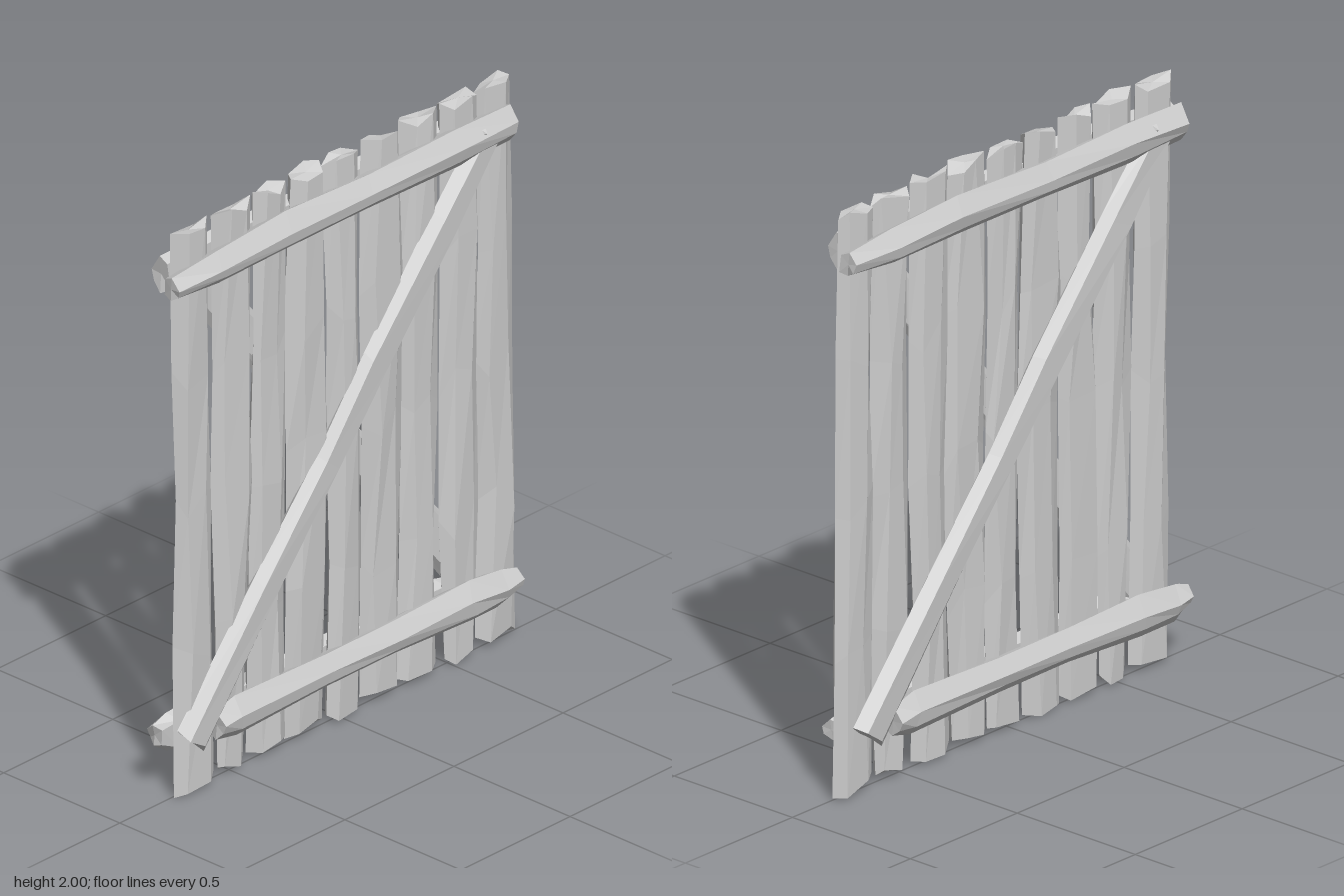
import * as THREE from 'three';

const material = new THREE.MeshStandardMaterial({ color: 0xcccccc, flatShading: true });

// Small seeded generator for the rough-hewn look
let seed = 7;
const rand = () => {
  seed = (seed * 16807) % 2147483647;
  return seed / 2147483647;
};
const jitter = (amount) => (rand() * 2 - 1) * amount;

// Rough board along y. stations: [along, low edge, high edge]; section: [across -1..1, depth],
// listed from the low edge over the front to the high edge and back.
function board(name, stations, section, rough = 1, endRough = 0.015) {
  const n = section.length;
  const last = stations.length - 1;
  const pos = [];
  const idx = [];
  stations.forEach(([t, lo, hi], i) => {
    const end = i === 0 || i === last;
    const mid = (lo + hi) / 2;
    const half = (hi - lo) / 2;
    for (const [u, v] of section) {
      const edge = Math.abs(u) === 1;
      pos.push(
        mid + half * (edge ? u : u + jitter(0.25 * rough)),
        t + jitter(end ? endRough : 0.06 * rough),
        v + jitter(0.009 * rough)
      );
    }
  });
  for (let i = 0; i < last; i++) {
    for (let j = 0; j < n; j++) {
      const a = i * n + j;
      const b = i * n + ((j + 1) % n);
      idx.push(a, b, b + n, a, b + n, a + n);
    }
  }
  // End caps fan out from a centre point
  for (const i of [0, last]) {
    const [t, lo, hi] = stations[i];
    const centre = pos.length / 3;
    const depth = section.reduce((sum, p) => sum + p[1], 0) / n;
    pos.push((lo + hi) / 2, t, depth);
    for (let j = 0; j < n; j++) {
      const a = i * n + j;
      const b = i * n + ((j + 1) % n);
      if (i === 0) idx.push(centre, b, a);
      else idx.push(centre, a, b);
    }
  }
  const indexed = new THREE.BufferGeometry();
  indexed.setAttribute('position', new THREE.Float32BufferAttribute(pos, 3));
  indexed.setIndex(idx);
  const geometry = indexed.toNonIndexed();
  geometry.computeVertexNormals();
  const mesh = new THREE.Mesh(geometry, material);
  mesh.name = name;
  return mesh;
}

// Horizontal board: stations are [x, bottom, top]
function rail(name, stations, section) {
  const mesh = board(name, stations.map(([x, lo, hi]) => [x, -hi, -lo]), section, 0.35, 0.008);
  mesh.rotation.z = -Math.PI / 2;
  return mesh;
}

// Two rails and a diagonal brace for one face of the gate
function bracing(name) {
  const group = new THREE.Group();
  group.name = name;
  const railSection = [[-1, 0.045], [-0.1, 0.08], [0.5, 0.07], [1, 0.04], [0.75, 0.01], [-0.7, 0.01]];

  group.add(rail('topRail', [
    [-0.81, 1.79, 1.87], [-0.6, 1.77, 1.89], [-0.3, 1.775, 1.91],
    [0.1, 1.775, 1.895], [0.5, 1.765, 1.905], [0.74, 1.77, 1.90],
  ], railSection));

  group.add(rail('bottomRail', [
    [-0.6, 0.16, 0.26], [-0.52, 0.14, 0.285], [-0.1, 0.155, 0.275],
    [0.2, 0.155, 0.275], [0.55, 0.14, 0.285], [0.7, 0.14, 0.27], [0.77, 0.18, 0.25],
  ], railSection));

  // Brace runs from the lower left to the upper right
  const from = new THREE.Vector2(-0.71, 0.19);
  const along = new THREE.Vector2(0.65, 1.83).sub(from);
  const length = along.length();
  const brace = board('diagonalBrace', [
    [0, -0.078, 0.078], [0.25 * length, -0.068, 0.065], [0.45 * length, -0.06, 0.062],
    [0.62 * length, -0.072, 0.06], [0.85 * length, -0.07, 0.07], [length, -0.06, 0.06],
  ], [[-1, 0.03], [-0.6, 0.065], [0.6, 0.062], [1, 0.035], [0.7, 0.012], [-0.7, 0.012]], 0.4, 0.01);
  brace.position.set(from.x, from.y, 0);
  brace.rotation.z = -Math.atan2(along.x, along.y);
  group.add(brace);

  // Tip of the brace showing through the rail
  const tip = new THREE.Mesh(new THREE.ConeGeometry(0.033, 0.04, 5), material);
  tip.name = 'braceTip';
  tip.position.set(0.6, 1.86, 0.062);
  tip.rotation.x = Math.PI / 2;
  group.add(tip);
  return group;
}

export function createModel() {
  seed = 7;
  const gate = new THREE.Group();
  gate.name = 'plankGate';

  // Left and right edges of each plank at five heights
  const heights = [0.02, 0.5, 1.0, 1.45, 1.98];
  const planks = [
    [[-0.76, -0.57], [-0.75, -0.585], [-0.74, -0.59], [-0.755, -0.595], [-0.77, -0.6]],
    [[-0.56, -0.43], [-0.57, -0.415], [-0.58, -0.4], [-0.57, -0.41], [-0.59, -0.4]],
    [[-0.42, -0.25], [-0.42, -0.25], [-0.41, -0.25], [-0.395, -0.25], [-0.39, -0.25]],
    [[-0.24, -0.07], [-0.245, -0.06], [-0.245, -0.04], [-0.25, -0.065], [-0.21, -0.08]],
    [[-0.06, 0.1], [-0.04, 0.1], [-0.05, 0.105], [-0.06, 0.095], [-0.07, 0.1]],
    [[0.1, 0.26], [0.11, 0.285], [0.1, 0.3], [0.1, 0.29], [0.11, 0.28]],
    [[0.26, 0.45], [0.28, 0.44], [0.29, 0.455], [0.28, 0.45], [0.28, 0.45]],
    [[0.48, 0.62], [0.46, 0.635], [0.46, 0.64], [0.465, 0.635], [0.47, 0.63]],
    [[0.63, 0.81], [0.635, 0.805], [0.63, 0.8], [0.64, 0.795], [0.63, 0.79]],
  ];
  const plankSection = [[-1, 0], [-0.5, 0.028], [0.5, 0.028], [1, 0], [0.5, -0.028], [-0.5, -0.028]];
  planks.forEach((edges, i) => {
    const stations = edges.map(([lo, hi], k) => [heights[k], lo, hi]);
    gate.add(board(`plank${i + 1}`, stations, plankSection, 1, 0.02));
  });

  // Same bracing on both faces, turned half round for the second
  gate.add(bracing('firstFaceBracing'));
  const second = bracing('secondFaceBracing');
  second.rotation.y = Math.PI;
  second.position.set(-0.02, 0, -0.005);
  gate.add(second);

  // The broad face looks along x
  gate.rotation.y = Math.PI / 2;
  const model = new THREE.Group();
  model.name = 'gateModel';
  model.add(gate);
  return model;
}
